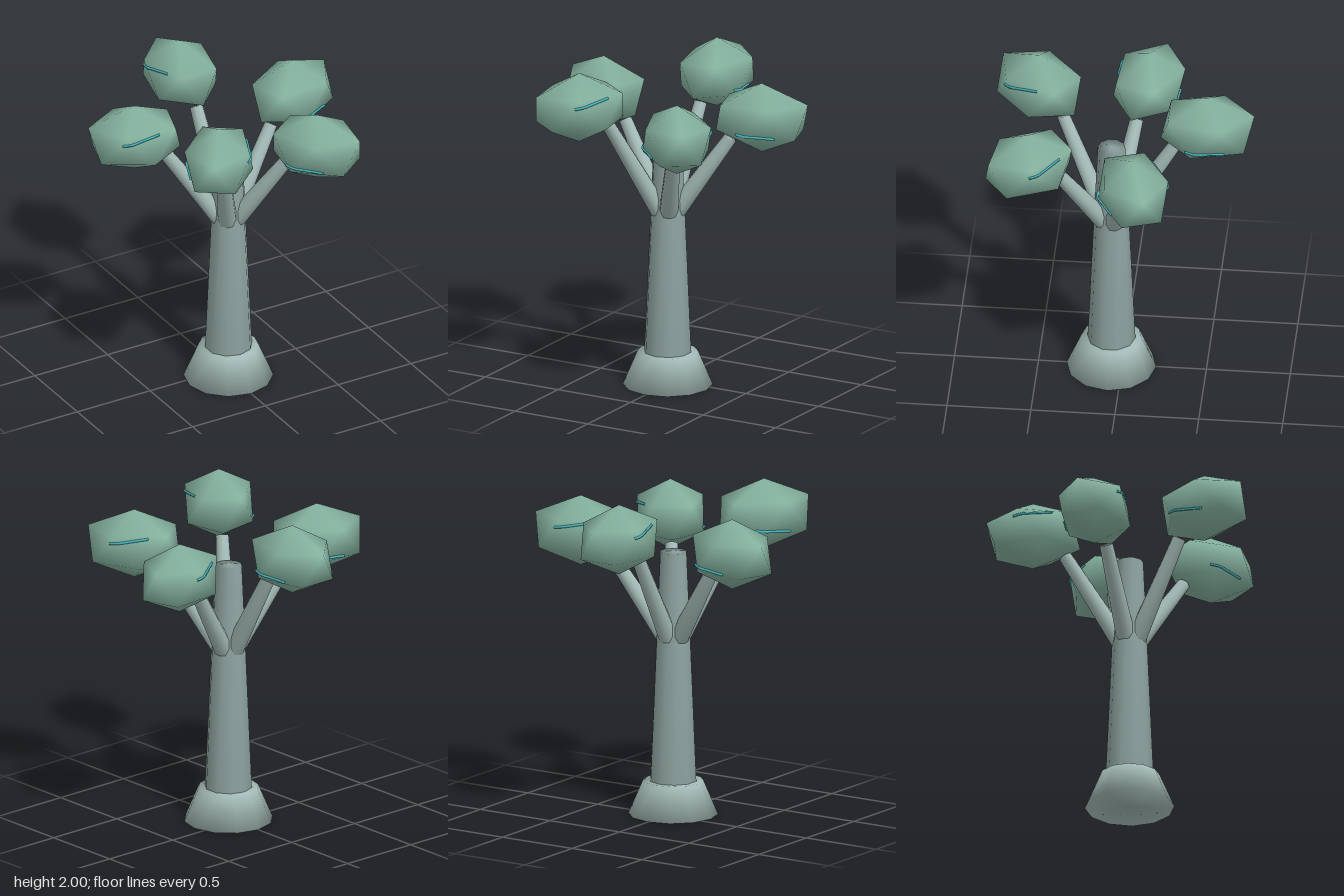
import * as THREE from 'three';
import { mergeVertices } from 'three/addons/utils/BufferGeometryUtils.js';

const AXIS_Z = 0.065; // the trunk stands slightly forward of centre

const bark = new THREE.MeshStandardMaterial({ color: 0x8fa5a2 });
const stone = new THREE.MeshStandardMaterial({ color: 0xa3bab6 });
const leaf = new THREE.MeshStandardMaterial({ color: 0x86b3a0 });
const teal = new THREE.MeshStandardMaterial({ color: 0x45b5bd });

function add(parent, name, geometry, material) {
  const mesh = new THREE.Mesh(geometry, material);
  mesh.name = name;
  parent.add(mesh);
  return mesh;
}

// Tapered cylinder whose caps share smooth normals with the sides
function taper(rTop, rBottom, height, sides) {
  const geometry = new THREE.CylinderGeometry(rTop, rBottom, height, sides);
  geometry.deleteAttribute('uv');
  geometry.deleteAttribute('normal');
  const merged = mergeVertices(geometry);
  merged.computeVertexNormals();
  return merged;
}

// Branch between two points
function branch(parent, a, b, rA, rB) {
  const dir = b.clone().sub(a);
  const mesh = add(parent, 'branch', taper(rB, rA, dir.length(), 10), stone);
  mesh.position.copy(a).add(b).multiplyScalar(0.5);
  mesh.quaternion.setFromUnitVectors(new THREE.Vector3(0, 1, 0), dir.normalize());
}

// Thin vein following the two facets on one flank of a leaf clump
function vein(parent, side, innerY, outerY) {
  const points = [-0.12, -0.06, 0, 0.06, 0.11].map((u, i) => {
    const y = THREE.MathUtils.lerp(innerY, outerY, i / 4);
    const x = 0.199 - Math.abs(0.24 * u - 0.22 * y);
    return new THREE.Vector3(side * x, y, u);
  });
  const curve = new THREE.CatmullRomCurve3(points);
  add(parent, 'vein', new THREE.TubeGeometry(curve, 12, 0.008, 5), teal);
}

// Smooth-shaded icosahedron, a corner up, long axis pointing outward along local z
function foliage(parent) {
  const geometry = new THREE.IcosahedronGeometry(1, 0);
  geometry.rotateX(-Math.atan((1 + Math.sqrt(5)) / 2));
  geometry.setAttribute('normal', geometry.getAttribute('position').clone());
  geometry.scale(0.23, 0.2125, 0.313);
  add(parent, 'leafClump', geometry, leaf);
  vein(parent, 1, 0.085, 0.05);
  vein(parent, -1, -0.06, -0.085);
}

export function createModel() {
  const model = new THREE.Group();
  model.name = 'tree';
  const tree = new THREE.Group();
  tree.name = 'treeBody';
  tree.position.z = AXIS_Z;
  model.add(tree);

  // Flared foot and tapering trunk
  add(tree, 'base', taper(0.18, 0.267, 0.205, 12), stone).position.y = 0.1025;
  add(tree, 'trunk', taper(0.082, 0.147, 1.5, 10), bark).position.y = 0.85;

  // Five limbs, evenly spread; the first and fourth carry their clumps higher
  [1.7875, 1.6925, 1.6925, 1.7875, 1.6925].forEach((height, turn) => {
    const arm = new THREE.Group();
    arm.name = 'limb';
    arm.rotation.y = Math.PI - turn * Math.PI * 0.4;
    tree.add(arm);

    // Branch reaching under the clump
    const root = new THREE.Vector3(0, 1.07, 0.045);
    const tip = new THREE.Vector3(0, height - 0.14, 0.38);
    branch(arm, root, tip, 0.058, 0.04);

    const clump = new THREE.Group();
    clump.name = 'foliage';
    clump.position.set(0, height, 0.572);
    foliage(clump);
    arm.add(clump);
  });
  return model;
}
